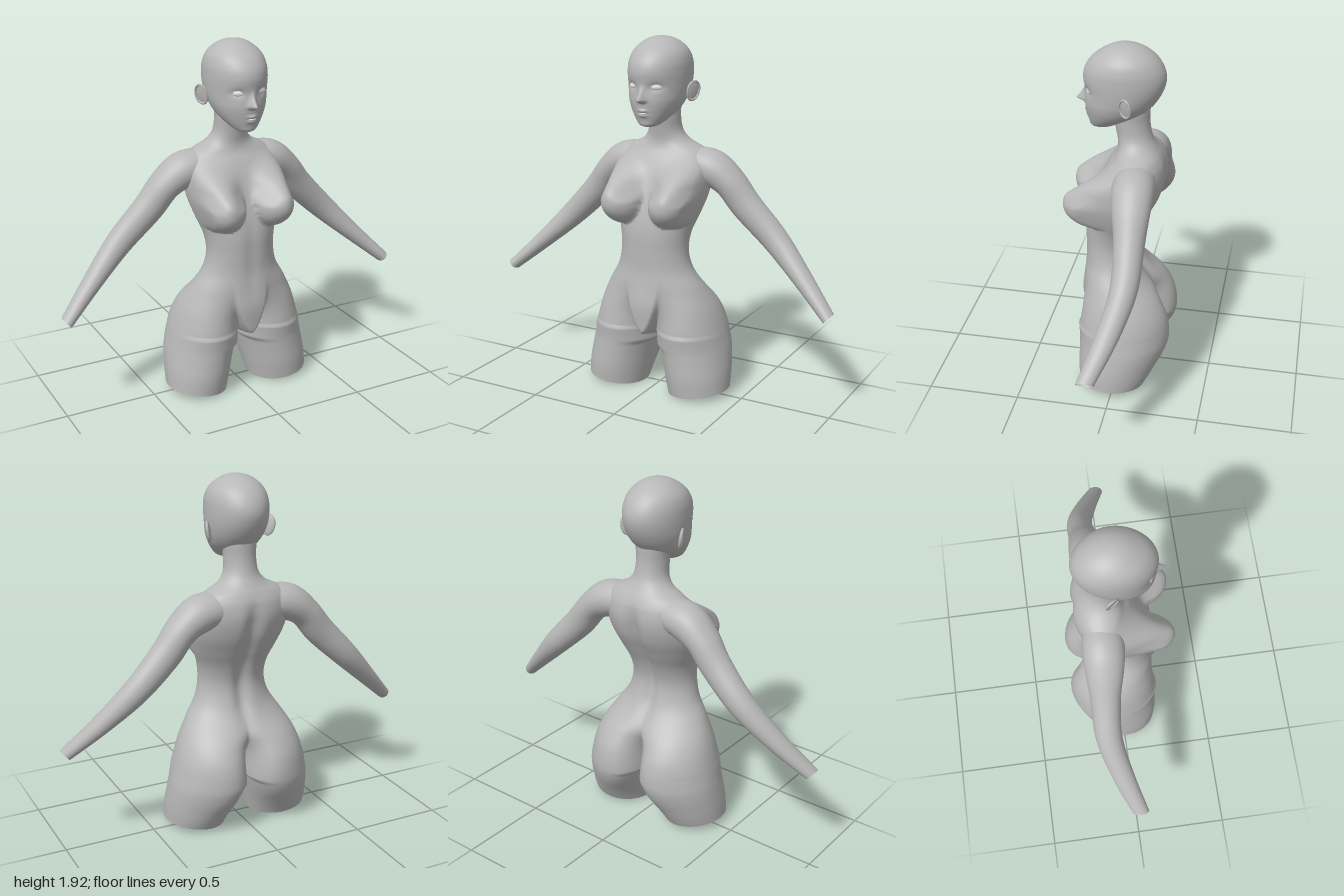
import * as THREE from 'three';
import { mergeVertices } from 'three/addons/utils/BufferGeometryUtils.js';

const { smoothstep, lerp, clamp } = THREE.MathUtils;
const bell = (d, width) => Math.exp(-((d / width) ** 2));

// Smooth interpolation of table rows [key, value, value, ...] at a key
function sample(table, key) {
  let i = 0;
  while (i < table.length - 2 && key > table[i + 1][0]) i++;
  const p = table[i], q = table[i + 1];
  const before = table[Math.max(i - 1, 0)], after = table[Math.min(i + 2, table.length - 1)];
  const span = q[0] - p[0], t = clamp((key - p[0]) / span, 0, 1);
  return p.slice(1).map((a, n) => {
    const c = n + 1, b = q[c];
    const m0 = (b - before[c]) / (q[0] - before[0]) * span;
    const m1 = (after[c] - a) / (after[0] - p[0]) * span;
    const t2 = t * t, t3 = t2 * t;
    return (2 * t3 - 3 * t2 + 1) * a + (t3 - 2 * t2 + t) * m0 + (3 * t2 - 2 * t3) * b + (t3 - t2) * m1;
  });
}

// Skin a grid of points over the left half, mirror it and weld the middle seam
function mirroredLoft(rows, cols, rowPoints) {
  const position = [], index = [];
  for (const side of [1, -1]) {
    const start = position.length / 3;
    for (let i = 0; i <= rows; i++) {
      for (const [x, y, z] of rowPoints(i / rows, cols)) position.push(side * x, y, z);
    }
    for (let i = 0; i < rows; i++) {
      for (let j = 0; j < cols; j++) {
        const a = start + i * (cols + 1) + j, b = a + 1, d = a + cols + 1, c = d + 1;
        if (side > 0) index.push(a, b, c, a, c, d);
        else index.push(a, c, b, a, d, c);
      }
    }
  }
  let geometry = new THREE.BufferGeometry();
  geometry.setAttribute('position', new THREE.Float32BufferAttribute(position, 3));
  geometry.setIndex(index);
  geometry = mergeVertices(geometry, 1e-4);
  geometry.computeVertexNormals();
  return geometry;
}

// Thighs to neck: height, half width, front z, back z
const BODY = [
  [0, 0.418, 0.195, -0.165], [0.1, 0.415, 0.203, -0.215], [0.2, 0.405, 0.203, -0.265],
  [0.28, 0.393, 0.204, -0.285], [0.4, 0.365, 0.215, -0.27], [0.5, 0.33, 0.22, -0.22],
  [0.6, 0.275, 0.21, -0.145], [0.7, 0.213, 0.2, -0.1], [0.8, 0.19, 0.2, -0.085],
  [0.9, 0.2, 0.2, -0.11], [1.0, 0.235, 0.185, -0.16], [1.1, 0.262, 0.155, -0.21],
  [1.2, 0.27, 0.115, -0.235], [1.28, 0.255, 0.07, -0.228], [1.33, 0.215, 0.035, -0.205],
  [1.37, 0.135, 0.025, -0.18], [1.42, 0.094, 0.03, -0.155], [1.5, 0.085, 0.045, -0.14],
  [1.58, 0.09, 0.05, -0.14],
];
const CROTCH = 0.27;

// Teardrop swelling of the chest: round below, fading out towards the shoulder above
function chestSwell(x, y) {
  const dy = y - 1.065, up = Math.max(dy, 0);
  const v = dy > 0 ? dy / 0.27 : dy / 0.125;
  const u = (x - 0.152 - 0.15 * up) / (0.122 + 0.5 * up);
  return Math.max(1 - u * u - v * v, 0) ** (0.6 + 2.2 * smoothstep(dy, 0, 0.1));
}

// Each half is a half ellipse in the trunk and turns into a closed ring in the thigh
function bodyRow(u, cols) {
  const y = u * 1.58;
  const [w, front, back] = sample(BODY, y);
  const zc = (front + back) / 2, rz = (front - back) / 2;
  const below = y > CROTCH - 1e-6 ? 0 : CROTCH - y;
  const inner = below * 0.315, arch = 0.024 * Math.min(below / 0.02, 1) * y / 0.25;
  const seat = 0.045 * smoothstep(y, 0, 0.25);
  const ring = [];
  for (let j = 0; j <= cols; j++) {
    const s = j / cols, t = Math.PI * s, tl = Math.PI * (2 * s - 0.5);
    // The front midline closes just above the crotch, everything else blends slowly
    const span = lerp(0.09, 0.4, smoothstep(s, 0, 0.14));
    const b = 1 - smoothstep(y, CROTCH, CROTCH + span);
    const legX = (w + inner) / 2 + (w - inner) / 2 * Math.sin(tl)
      + arch * ((1 - Math.sin(tl)) / 2) ** 4 - seat * Math.max(-Math.cos(tl), 0) ** 2;
    ring.push([lerp(w * Math.sin(t), legX, b), y, zc + rz * lerp(Math.cos(t), Math.cos(tl), b)]);
  }
  const zs = ring.map(p => p[2]), lo = Math.min(...zs), hi = Math.max(...zs);
  const spine = 0.03 * smoothstep(y, 0.5, 0.7) * (1 - smoothstep(y, 1.15, 1.35));
  return ring.map(([x, , z]) => {
    let depth = lerp(back, front, (z - lo) / (hi - lo));
    const facing = (depth - zc) / rz;
    depth = lerp(depth, 0.293, chestSwell(x, y) * smoothstep(facing, 0, 0.4));
    depth += spine * bell(x, 0.045) * (facing < 0 ? 1 : -0.3);
    // The cut ends of the thighs rise towards the outside
    return [x, y + Math.max(x - 0.085, 0) * 0.12 * Math.max(1 - y / 0.3, 0), depth];
  });
}

// Jaw to crown: height, half width, front z, back z
const HEAD = [
  [1.463, 0.012, 0.14, 0.1], [1.472, 0.045, 0.168, 0.06], [1.5, 0.08, 0.178, 0],
  [1.55, 0.119, 0.19, -0.1], [1.6, 0.142, 0.197, -0.155], [1.65, 0.153, 0.195, -0.19],
  [1.7, 0.158, 0.2, -0.212], [1.75, 0.159, 0.205, -0.22], [1.8, 0.155, 0.192, -0.208],
  [1.85, 0.137, 0.155, -0.175], [1.89, 0.098, 0.1, -0.125], [1.915, 0.05, 0.045, -0.065],
  [1.924, 0, -0.005, -0.005],
];

// Nose, lips and eye sockets as offsets of the face
function faceRelief(x, y) {
  const k = clamp((1.69 - y) / 0.078, 0, 1);
  const nose = 0.048 * k ** 1.3 * smoothstep(y, 1.59, 1.612) * bell(x, 0.011 + 0.009 * k);
  const lips = (0.011 * bell(y - 1.554, 0.008) + 0.009 * bell(y - 1.529, 0.009)) * bell(x, 0.024);
  const socket = 0.013 * bell(x - 0.07, 0.035) * bell(y - 1.677, 0.022);
  return nose + lips - socket;
}

function headRow(u, cols) {
  const y = lerp(1.463, 1.924, u);
  const [w, front, back] = sample(HEAD, y);
  return Array.from({ length: cols + 1 }, (_, j) => {
    const t = Math.PI * j / cols, x = w * Math.sin(t);
    const z = (front + back) / 2 + (front - back) / 2 * Math.cos(t);
    return [x, y, z + (t < Math.PI / 2 ? faceRelief(x, y) : 0)];
  });
}

// Shoulder to wrist: position, centre x, y, z, radius across, radius in z
const ARM = [
  [0, 0.03, 1.265, -0.085, 0.075, 0.08], [1, 0.14, 1.25, -0.092, 0.09, 0.102],
  [2, 0.26, 1.23, -0.097, 0.099, 0.11], [3, 0.36, 1.163, -0.105, 0.084, 0.098],
  [4, 0.457, 1.043, -0.115, 0.082, 0.08], [5, 0.628, 0.874, -0.12, 0.07, 0.07],
  [6, 0.807, 0.702, -0.067, 0.05, 0.06], [7, 0.976, 0.544, 0.005, 0.033, 0.045],
];

function armRow(u, cols) {
  const k = u * 7, [x, y, z, across, deep] = sample(ARM, k);
  const a = sample(ARM, Math.max(k - 0.05, 0)), b = sample(ARM, Math.min(k + 0.05, 7));
  const dx = b[0] - a[0], dy = b[1] - a[1], length = Math.hypot(dx, dy);
  return Array.from({ length: cols + 1 }, (_, j) => {
    const t = 2 * Math.PI * j / cols, c = across * Math.cos(t);
    return [x - dy / length * c, y + dx / length * c, z + deep * Math.sin(t)];
  });
}

export function createModel() {
  const model = new THREE.Group();
  const skin = new THREE.MeshStandardMaterial({ color: 0xb8b8b8, side: THREE.DoubleSide });
  skin.name = 'mannequin grey';
  const pale = new THREE.MeshStandardMaterial({ color: 0xe4e4e4 });
  pale.name = 'pale grey';

  const add = (parent, name, geometry, material) => {
    const mesh = new THREE.Mesh(geometry, material);
    mesh.name = name;
    parent.add(mesh);
    return mesh;
  };

  add(model, 'torsoAndThighs', mirroredLoft(158, 80, bodyRow), skin);
  add(model, 'head', mirroredLoft(92, 88, headRow), skin);
  add(model, 'arms', mirroredLoft(56, 40, armRow), skin);

  // Ears and eyes, one set for each side
  for (const side of [1, -1]) {
    const features = new THREE.Group();
    features.name = side > 0 ? 'leftFeatures' : 'rightFeatures';
    features.scale.x = side;
    model.add(features);

    const ear = new THREE.Group();
    ear.name = 'ear';
    ear.position.set(0.169, 1.643, -0.042);
    ear.rotation.set(-0.15, -0.5, -0.22);
    features.add(ear);
    add(ear, 'earBowl', new THREE.SphereGeometry(1, 20, 14).scale(0.008, 0.054, 0.036), skin);
    const rim = new THREE.TorusGeometry(0.05, 0.007, 8, 32).rotateY(Math.PI / 2).scale(1, 1, 0.72);
    add(ear, 'earRim', rim, skin).position.x = 0.004;

    const eye = new THREE.Group();
    eye.name = 'eye';
    eye.position.set(0.07, 1.677, 0.166);
    eye.rotation.y = 0.5;
    features.add(eye);
    add(eye, 'eyeball', new THREE.SphereGeometry(1, 20, 12).scale(0.03, 0.013, 0.007), pale);
    add(eye, 'upperLid', new THREE.TorusGeometry(0.03, 0.004, 6, 20, Math.PI).scale(1, 0.48, 1), skin)
      .position.z = 0.003;
  }

  // Slightly open mouth
  add(model, 'mouth', new THREE.SphereGeometry(1, 16, 8).scale(0.022, 0.004, 0.007), pale)
    .position.set(0, 1.541, 0.19);

  return model;
}
